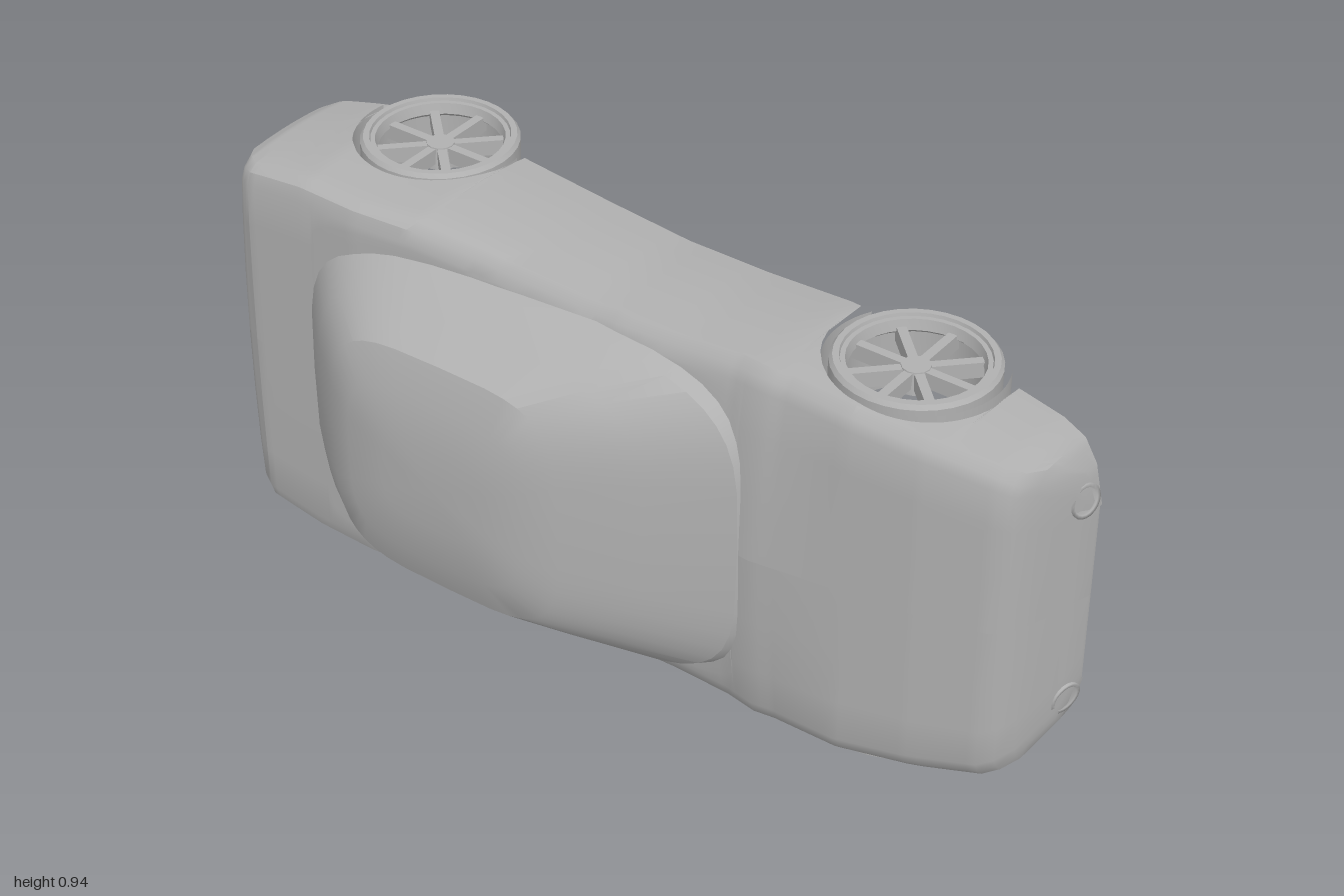
import * as THREE from 'three';
import { toCreasedNormals } from 'three/addons/utils/BufferGeometryUtils.js';
import { RoundedBoxGeometry } from 'three/addons/geometries/RoundedBoxGeometry.js';

// The car lies on its side: nose to +x, roof to +z, width along y.
const MID = 0.47, ARCH = 0.185;
const AXLES = [
  { name: 'rear', x: -0.62, z: -0.17, y: 0.385 },
  { name: 'front', x: 0.61, z: -0.11, y: 0.355 },
];

const paint = new THREE.MeshStandardMaterial({ color: 0xb0b0b0, side: THREE.DoubleSide });
paint.name = 'grey';

function add(parent, name, geometry, x = 0, y = 0, z = 0) {
  const mesh = new THREE.Mesh(geometry, paint);
  mesh.name = name;
  mesh.position.set(x, y, z);
  parent.add(mesh);
  return mesh;
}

// Straight-line lookup in a short [x, value] table
function along(table, x) {
  if (x <= table[0][0]) return table[0][1];
  for (let i = 1; i < table.length; i++) {
    const [x0, v0] = table[i - 1], [x1, v1] = table[i];
    if (x <= x1) return v0 + (v1 - v0) * (x - x0) / (x1 - x0);
  }
  return table[table.length - 1][1];
}

// Skin a list of equally long cross-sections
function loft(sections, crease) {
  const n = sections[0].length, index = [];
  for (let i = 0; i < sections.length - 1; i++) {
    for (let j = 0; j < n - 1; j++) {
      const a = i * n + j, b = a + n;
      index.push(a, a + 1, b, b, a + 1, b + 1);
    }
  }
  const g = new THREE.BufferGeometry();
  g.setAttribute('position', new THREE.Float32BufferAttribute(sections.flat(2), 3));
  g.setIndex(index);
  return toCreasedNormals(g, crease);
}

const WIDTH = [[-1, 0.31], [-0.985, 0.385], [-0.965, 0.43], [-0.93, 0.444], [-0.75, 0.468], [-0.45, 0.468],
  [-0.2, 0.445], [0, 0.43], [0.2, 0.433], [0.4, 0.445], [0.6, 0.437], [0.78, 0.41], [0.9, 0.385],
  [0.95, 0.36], [0.98, 0.31], [1, 0.22]];
const DECK = [[-1, -0.02], [-0.99, 0.03], [-0.97, 0.08], [-0.94, 0.12], [-0.9, 0.14], [-0.6, 0.15], [-0.3, 0.125],
  [0, 0.112], [0.2, 0.125], [0.4, 0.142], [0.75, 0.092], [0.9, 0.055], [0.93, 0.035], [0.96, -0.03],
  [0.985, -0.12], [1, -0.165]];
const SILL = [[-1, -0.04], [-0.985, -0.1], [-0.96, -0.16], [-0.92, -0.2], [-0.8, -0.235], [-0.4, -0.22],
  [0.4, -0.2], [1, -0.18]];
// How far the deck edge falls below its centre beside the windscreen
const DROP = [[0.05, 0], [0.33, 0.03], [0.45, 0.025], [0.6, 0]];

// Deck opening under the cabin, just inside the cabin skin
const cabinHalf = x => 0.37 * Math.pow(Math.max(0, 1 - ((x + 0.18) / 0.535) ** 4), 0.25);

function bodySection(x, closed) {
  const w = along(WIDTH, x), top = along(DECK, x), edge = top - along(DROP, x);
  const cut = Math.min(0.03, (edge - along(SILL, x)) * 0.4), shoulder = edge - cut;
  let low = along(SILL, x);
  for (const a of AXLES) {
    const d = ARCH ** 2 - (x - a.x) ** 2;
    if (d > 0.0008) low = Math.max(low, a.z + Math.sqrt(d));
  }
  low = Math.min(low, shoulder - 0.003);
  const side = z => w * (1 - 0.04 * ((z + 0.05) / 0.19) ** 2);
  const half = [];
  // Rear bumper curls under the tail
  half.push([x < -0.9 ? 0 : side(low), low]);
  for (let k = 0; k <= 5; k++) {
    const z = low + (shoulder - low) * k / 5;
    half.push([side(z), z]);
  }
  half.push([0.94 * w, edge - cut * 0.35], [0.88 * w, edge - cut * 0.05]);
  // Deck runs in to the cabin opening, or to the centre line
  const inner = Math.min(cabinHalf(x), 0.86 * w);
  for (const t of [0.25, 0.6, 1]) {
    const y = 0.88 * w + (inner - 0.88 * w) * t;
    half.push([y, edge + (top - edge) * (1 - (y / (0.88 * w)) ** 2)]);
  }
  // The tail bows backwards at the centre
  const bow = 0.025 * Math.max(0, (-0.85 - x) / 0.15);
  const fix = ([y, z], s) => [x + bow * (y / w) ** 2, MID + s * y, closed ? (top + low) / 2 : z];
  return [...half.map(p => fix(p, 1)), ...half.slice().reverse().map(p => fix(p, -1))];
}

function buildBody(car) {
  const xs = [-0.99, -0.902, -0.898, ...[WIDTH, DECK, SILL, DROP].flat().map(p => p[0])];
  for (let i = 0; i <= 50; i++) xs.push(-1 + i * 0.04);
  for (const a of AXLES) {
    for (let k = 1; k < 16; k++) xs.push(a.x + ARCH * Math.cos(k * Math.PI / 16));
    xs.push(a.x - ARCH - 0.001, a.x + ARCH + 0.001);
  }
  for (let k = 0; k <= 5; k++) xs.push(0.356 - k * k * 0.004, -0.716 + k * k * 0.004);
  xs.sort((a, b) => a - b);
  const stations = xs.filter((x, i) => i === 0 || x - xs[i - 1] > 0.0008);
  const sections = stations.map(x => bodySection(x, false));
  sections.unshift(bodySection(-1, true));
  sections.push(bodySection(1, true));

  // Each half is skinned on its own, leaving the deck open under the cabin
  const h = sections[0].length / 2;
  add(car, 'bodyLeft', loft(sections.map(s => s.slice(0, h)), 0.6));
  add(car, 'bodyRight', loft(sections.map(s => s.slice(h)), 0.6));
}

function buildCabin(car) {
  // Rings from the belt line to the roof: rear x, front x, half width, height
  const rings = [[-0.76, 0.41, 0.398, 0.09], [-0.735, 0.375, 0.383, 0.142], [-0.645, 0.2, 0.335, 0.222],
    [-0.545, 0.045, 0.283, 0.298], [-0.48, -0.03, 0.2, 0.326], [-0.38, -0.12, 0.1, 0.337], [-0.25, -0.25, 0, 0.34]];
  const sections = rings.map(([xr, xf, hw, z]) => {
    const ring = [];
    for (let k = 0; k <= 40; k++) {
      const a = k * Math.PI / 20, c = Math.cos(a), s = Math.sin(a);
      ring.push([(xr + xf) / 2 + (xf - xr) / 2 * Math.sign(c) * Math.sqrt(Math.abs(c)),
        MID + hw * Math.sign(s) * Math.sqrt(Math.abs(s)), z]);
    }
    return ring;
  });
  add(car, 'cabin', loft(sections, 0.45));
}

function buildWheel(name) {
  const wheel = new THREE.Group();
  wheel.name = name;
  const ring = [[0.143, -0.085], [0.164, -0.085], [0.17, -0.078], [0.17, 0.076], [0.163, 0.085], [0.15, 0.085],
    [0.148, 0.078], [0.138, 0.078], [0.132, 0.055], [0.143, 0.045], [0.143, -0.085]];
  const tyre = new THREE.LatheGeometry(ring.map(p => new THREE.Vector2(...p)), 32);
  add(wheel, 'tyreAndRim', toCreasedNormals(tyre, 0.5));
  add(wheel, 'hub', new THREE.CylinderGeometry(0.03, 0.036, 0.05, 12), 0, 0.04, 0);
  for (let k = 0; k < 8; k++) {
    const a = k * Math.PI / 4;
    const spoke = add(wheel, 'spoke', new THREE.BoxGeometry(0.118, 0.035, 0.02),
      0.083 * Math.cos(a), 0.045, -0.083 * Math.sin(a));
    spoke.rotation.y = a;
  }
  return wheel;
}

// Liner over the wheel, closed on the inside and cut flat at the sill
function buildWell(side, axle) {
  const low = -0.2 - axle.z, start = Math.asin(low / ARCH);
  const inner = axle.y - 0.115, outer = along(WIDTH, axle.x) * 0.985;
  const shape = new THREE.Shape();
  shape.absarc(0, 0, ARCH, start, Math.PI - start, false);
  const wall = add(side, axle.name + 'WellWall', new THREE.ShapeGeometry(shape, 24), axle.x, inner, axle.z);
  wall.rotation.x = Math.PI / 2;
  const arch = [inner, outer].map(y => shape.getPoints(24).map(p => [axle.x + p.x, y, axle.z + p.y]));
  add(side, axle.name + 'WellArch', loft(arch, 0.6));
}

function buildSeat(car, y) {
  const seat = new THREE.Group();
  seat.name = 'seat';
  seat.position.set(0, y, 0);
  add(seat, 'cushion', new RoundedBoxGeometry(0.29, 0.25, 0.12, 2, 0.03), -0.175, 0, -0.08);
  const back = add(seat, 'backrest', new RoundedBoxGeometry(0.1, 0.24, 0.32, 2, 0.03), -0.34, 0, 0.05);
  back.rotation.y = -0.35;
  add(seat, 'headrest', new RoundedBoxGeometry(0.06, 0.13, 0.07, 2, 0.02), -0.41, 0, 0.215);
  car.add(seat);
}

export function createModel() {
  const car = new THREE.Group();
  car.name = 'car';
  buildBody(car);
  buildCabin(car);

  // Wheels, wells and headlights, mirrored across the car
  const lampAxis = new THREE.Vector3(0.95, 0.12, 0.28).normalize();
  for (const s of [1, -1]) {
    const side = new THREE.Group();
    side.name = s > 0 ? 'leftSide' : 'rightSide';
    side.position.y = MID;
    side.scale.y = s;
    for (const axle of AXLES) {
      const wheel = buildWheel(axle.name + 'Wheel');
      wheel.position.set(axle.x, axle.y, axle.z);
      side.add(wheel);
      buildWell(side, axle);
    }
    const rim = [[0.028, -0.03], [0.036, -0.03], [0.038, 0.016], [0.03, 0.016], [0.028, 0.012], [0, 0.012]];
    const lamp = add(side, 'headlight',
      new THREE.LatheGeometry(rim.map(p => new THREE.Vector2(...p)), 20), 0.975, 0.245, -0.137);
    lamp.quaternion.setFromUnitVectors(new THREE.Vector3(0, 1, 0), lampAxis);
    car.add(side);
  }

  // Interior
  for (const s of [1, -1]) buildSeat(car, MID + s * 0.165);
  add(car, 'dashboard', new RoundedBoxGeometry(0.055, 0.76, 0.1, 2, 0.02), 0.25, MID, 0.06);
  add(car, 'console', new RoundedBoxGeometry(0.09, 0.14, 0.16, 2, 0.015), 0.19, MID, -0.01);
  const steering = add(car, 'steeringWheel', new THREE.TorusGeometry(0.062, 0.009, 8, 24), 0.11, MID - 0.165, 0.06);
  steering.rotation.y = Math.PI / 2 - 0.35;
  const column = add(car, 'steeringColumn', new THREE.CylinderGeometry(0.012, 0.012, 0.13, 8), 0.17, MID - 0.165, 0.05);
  column.rotation.z = Math.PI / 2;
  return car;
}
